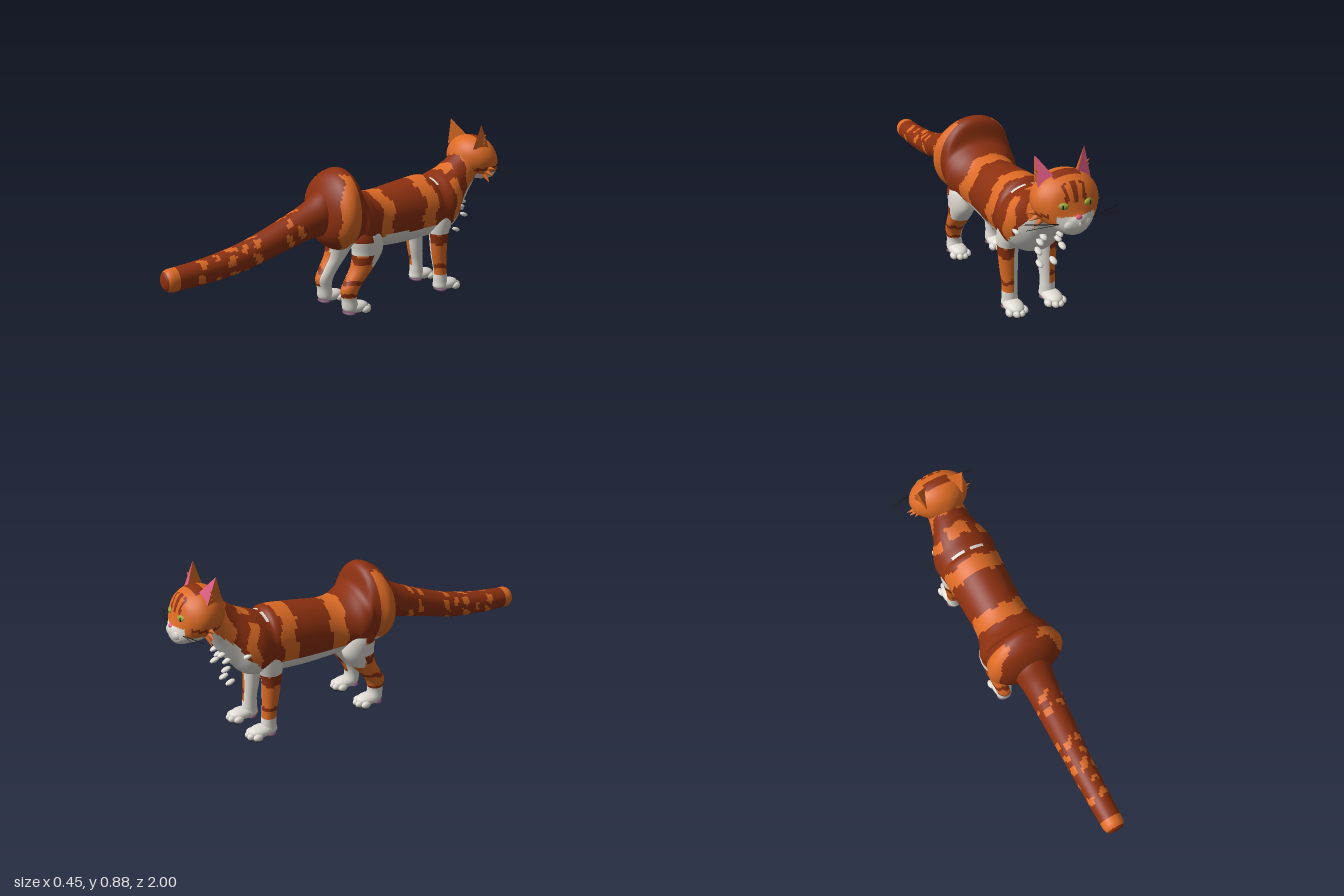
import * as THREE from 'three';

const mat = (name, color, side = THREE.FrontSide) => {
  const m = new THREE.MeshStandardMaterial({ color, side });
  m.name = name;
  return m;
};

export function createModel() {
  const cat = new THREE.Group();
  cat.name = 'cat';
  const orange = mat('orange fur', 0xdc6a24), brown = mat('dark stripe fur', 0x8c300f);
  const white = mat('white fur', 0xe0dcd4), pink = mat('pink skin', 0xdc5a80);
  const purple = mat('paw pad', 0x76506a), green = mat('eye green', 0x9aa632);
  const black = mat('black', 0x1c1816);
  const FUR = [orange, brown, white];
  const O = 0, B = 1, W = 2;

  const add = (name, geo, material, parent = cat) => {
    const m = new THREE.Mesh(geo, material);
    m.name = name;
    parent.add(m);
    return m;
  };

  // Smooth loft through elliptical stations [cx, cy, cz, a, b]; every face takes a fur colour by rule
  function loft(name, stations, axis, steps, sides, colourAt, parent = cat) {
    const c1 = new THREE.CatmullRomCurve3(stations.map(s => new THREE.Vector3(s[0], s[1], s[2])), false, 'catmullrom', 0.5);
    const c2 = new THREE.CatmullRomCurve3(stations.map(s => new THREE.Vector3(s[3], s[4], 0)), false, 'catmullrom', 0.5);
    const pos = [], buckets = [[], [], []];
    for (let i = 0; i <= steps; i++) {
      const c = c1.getPoint(i / steps), r = c2.getPoint(i / steps);
      for (let j = 0; j < sides; j++) {
        const t = j / sides * Math.PI * 2;
        const u = Math.cos(t) * Math.max(r.x, 0.001), v = Math.sin(t) * Math.max(r.y, 0.001);
        if (axis === 'z') pos.push(c.x + u, c.y + v, c.z);
        else pos.push(c.x + u, c.y, c.z + v);
      }
    }
    for (let i = 0; i < steps; i++) for (let j = 0; j < sides; j++) {
      const k = (j + 1) % sides;
      const a = i * sides + j, b = i * sides + k, c = b + sides, d = a + sides;
      const mid = n => (pos[a * 3 + n] + pos[c * 3 + n]) / 2;
      buckets[colourAt(mid(0), mid(1), mid(2))].push(a, b, c, a, c, d);
    }
    const g = new THREE.BufferGeometry();
    g.setAttribute('position', new THREE.Float32BufferAttribute(pos, 3));
    g.setIndex(buckets.flat());
    let start = 0;
    buckets.forEach((q, n) => { if (q.length) g.addGroup(start, q.length, n); start += q.length; });
    g.computeVertexNormals();
    return add(name, g, FUR, parent);
  }
  // Body profile rows [z, top, bottom, halfWidth] to stations
  const profile = rows => rows.map(([z, t, b, w]) => [0, (t + b) / 2, z, w, (t - b) / 2]);
  const inside = (v, ranges) => ranges.some(([a, b]) => v > a && v < b);
  const ball = (name, m, p, r, parent = cat, seg = 14) => {
    const s = add(name, new THREE.SphereGeometry(1, seg, Math.max(8, seg - 4)), m, parent);
    s.position.set(...p);
    s.scale.set(...r);
    return s;
  };

  // Torso with neck and raised rump
  loft('body', profile([
    [-0.86, 0.73, 0.59, 0.05], [-0.82, 0.755, 0.545, 0.09], [-0.77, 0.735, 0.465, 0.098], [-0.71, 0.69, 0.38, 0.115],
    [-0.66, 0.655, 0.325, 0.145], [-0.6, 0.63, 0.305, 0.165], [-0.545, 0.61, 0.3, 0.158], [-0.5, 0.628, 0.298, 0.155],
    [-0.35, 0.612, 0.29, 0.146], [-0.2, 0.592, 0.295, 0.142], [-0.12, 0.597, 0.305, 0.16], [-0.07, 0.612, 0.315, 0.185],
    [-0.035, 0.64, 0.32, 0.188], [-0.01, 0.715, 0.32, 0.18], [0.025, 0.736, 0.32, 0.19], [0.065, 0.725, 0.325, 0.203],
    [0.105, 0.695, 0.345, 0.185], [0.14, 0.635, 0.385, 0.13], [0.16, 0.56, 0.43, 0.05], [0.163, 0.5, 0.495, 0.002],
  ]), 'z', 170, 64, (x, y, z) => {
    const wob = 0.012 * Math.sin(y * 40) + 0.006 * Math.sin(x * 70);
    if (z < -0.62 && y < 0.43 + (-0.65 - z) * 1.07 + wob) return W;
    if (z < 0.05 && y < 0.375 + wob) return W;
    if (y > 0.58 && z > -0.553 && z < -0.538 && Math.abs(x) > 0.02 && Math.abs(x) < 0.09) return W;
    if (z > 0.02) return y > 0.715 || Math.hypot(x / 0.165, (y - 0.53) / 0.205) < 1 + wob * 3 ? B : O;
    const s = z + wob;
    if (inside(s, [[-0.225, -0.145], [-0.5, -0.42], [-0.9, -0.735]])) return O;
    if (inside(s, [[-0.67, -0.62]]) && (Math.abs(x) > 0.1 || Math.abs(x) < 0.06)) return O;
    return B;
  });

  // Tail
  loft('tail', [
    [0, 0.53, 0.06, 0.1, 0.13], [0, 0.515, 0.15, 0.094, 0.11], [0, 0.485, 0.24, 0.082, 0.088], [0, 0.42, 0.44, 0.072, 0.073],
    [0, 0.375, 0.6, 0.065, 0.067], [0, 0.348, 0.78, 0.06, 0.06], [0, 0.338, 0.92, 0.056, 0.056],
    [0, 0.336, 0.97, 0.053, 0.053], [0, 0.336, 0.993, 0.035, 0.035], [0, 0.336, 1, 0.001, 0.001],
  ], 'z', 120, 40, (x, y, z) => {
    if (z > 0.93) return z > 0.985 ? B : O;
    const a = Math.atan2(x, y - (0.56 - 0.28 * z));
    const s = z + 0.012 * Math.sin(a * 3);
    if (inside(s, [[0.335, 0.365], [0.51, 0.545], [0.635, 0.68], [0.8, 0.835]]) && Math.sin(a * 5 + z * 30) > -0.5) return O;
    return inside(s, [[0.27, 0.3], [0.58, 0.61], [0.73, 0.75]]) && Math.sin(a * 3 + z * 9) > 0.3 ? O : B;
  });

  // Head with pale muzzle
  loft('head', profile([
    [-1, 0.625, 0.6, 0.006], [-0.993, 0.642, 0.58, 0.035], [-0.98, 0.66, 0.56, 0.06], [-0.968, 0.695, 0.553, 0.08],
    [-0.955, 0.735, 0.55, 0.1], [-0.935, 0.768, 0.552, 0.122], [-0.9, 0.79, 0.556, 0.146], [-0.86, 0.802, 0.565, 0.153],
    [-0.81, 0.798, 0.58, 0.138], [-0.765, 0.77, 0.61, 0.095], [-0.738, 0.72, 0.65, 0.035], [-0.734, 0.69, 0.68, 0.002],
  ]), 'z', 90, 56, (x, y, z) => {
    const ax = Math.abs(x);
    if (y < 0.607 || (z < -0.95 && y < 0.648 && ax < 0.09)) return W;
    if (y > 0.75 && z < -0.835 && z > -0.885 && ax < 0.065) return B;
    if (y > 0.7 && z < -0.92 && inside(ax, [[0, 0.012], [0.035, 0.05]])) return B;
    return z > -0.94 && ax > 0.1 && inside(y + 0.1 * z, [[0.545, 0.56]]) ? B : O;
  });
  ball('nose', pink, [0, 0.641, -0.984], [0.018, 0.012, 0.014]);
  ball('chin', white, [0, 0.572, -0.955], [0.045, 0.022, 0.03]);

  for (const s of [1, -1]) {
    const side = new THREE.Group();
    side.name = s > 0 ? 'leftSide' : 'rightSide';
    cat.add(side);

    // Ear: pink front face, orange back
    const ear = new THREE.BufferGeometry();
    const tip = [0.12, 0.877, -0.81], inn = [0.052, 0.785, -0.872], out = [0.128, 0.735, -0.868], back = [0.1, 0.745, -0.775];
    const faces = [[tip, inn, out], [tip, out, back], [tip, back, inn]];
    ear.setAttribute('position', new THREE.Float32BufferAttribute(
      faces.flatMap(f => (s > 0 ? [f[0], f[2], f[1]] : f).flatMap(p => [p[0] * s, p[1], p[2]])), 3));
    // Corner order must face outwards on each side
    const p = ear.attributes.position, v = i => new THREE.Vector3().fromBufferAttribute(p, i);
    const core = new THREE.Vector3(0.1 * s, 0.785, -0.831);
    for (let i = 0; i < 9; i += 3) {
      const a = v(i), b = v(i + 1), c = v(i + 2);
      if (b.clone().sub(a).cross(c.clone().sub(a)).dot(a.clone().sub(core)) < 0) {
        p.setXYZ(i + 1, c.x, c.y, c.z);
        p.setXYZ(i + 2, b.x, b.y, b.z);
      }
    }
    ear.addGroup(0, 3, 0);
    ear.addGroup(3, 6, 1);
    ear.computeVertexNormals();
    add('ear', ear, [pink, orange], side);

    // Small fur tufts on ear edge and cheek
    const tuft = (name, q, len, r, tilt) => {
      const t = add(name, new THREE.ConeGeometry(r, len, 6), orange, side);
      t.position.set(q[0] * s, q[1], q[2]);
      t.rotation.z = -s * tilt;
    };
    [0.775, 0.795, 0.815].forEach(y => tuft('earTuft', [0.124, y, -0.835], 0.03, 0.008, 0.8));
    [[0.155, 0.64, 1.5], [0.145, 0.61, 1.9], [0.125, 0.58, 2.3]].forEach(([x, y, t]) => tuft('cheekTuft', [x, y, -0.86], 0.055, 0.016, t));

    // Eye with dark pupil
    const eye = new THREE.Group();
    eye.name = 'eye';
    eye.position.set(0.06 * s, 0.69, -0.956);
    eye.rotation.y = -s * 0.45;
    side.add(eye);
    ball('iris', green, [0, 0, 0], [0.026, 0.017, 0.014], eye);
    ball('pupil', black, [0, 0, -0.012], [0.004, 0.011, 0.004], eye, 8);

    ball('muzzleCheek', white, [0.03 * s, 0.608, -0.97], [0.036, 0.03, 0.026], side);

    // Whiskers
    [[0.632, -0.935], [0.622, -0.925], [0.607, -0.945]].forEach(([y, z]) => {
      const path = new THREE.LineCurve3(new THREE.Vector3(0.07 * s, 0.615, -0.968), new THREE.Vector3(0.225 * s, y, z));
      add('whisker', new THREE.TubeGeometry(path, 1, 0.0013, 4), black, side);
    });

    // Chest tufts
    [[0.04, 0.455, -0.765], [0.06, 0.385, -0.76], [0.035, 0.3, -0.73], [0.045, 0.42, -0.745], [0.128, 0.46, -0.675]].forEach(q => {
      const t = ball('chestTuft', white, [q[0] * s, q[1], q[2]], [0.016, 0.011, 0.026], side, 10);
      t.rotation.x = -0.35;
    });

    // Legs: white inside and sock, striped outside
    const legColour = (bands, hip) => (x, y, z) => {
      if (y < 0.1 || Math.abs(x) < 0.092 || hip(y, z)) return W;
      return inside(y + 0.008 * Math.sin(x * 90 + z * 60), bands) ? B : O;
    };
    loft('hindLeg', [
      [0.11 * s, 0.45, -0.05, 0.05, 0.06], [0.113 * s, 0.39, -0.06, 0.066, 0.085], [0.115 * s, 0.32, -0.068, 0.063, 0.085],
      [0.116 * s, 0.25, -0.04, 0.054, 0.066], [0.115 * s, 0.19, 0.002, 0.048, 0.055], [0.112 * s, 0.135, 0.036, 0.042, 0.05],
      [0.11 * s, 0.085, 0.038, 0.038, 0.039], [0.11 * s, 0.03, 0.03, 0.04, 0.04], [0.11 * s, 0.022, 0.03, 0.001, 0.001],
    ], 'y', 60, 36, legColour([[0.1, 0.118], [0.165, 0.19], [0.27, 0.31], [0.38, 0.5]],
      (y, z) => (y > 0.315 && y < 0.38) || (z < -0.06 && y > 0.245)), side);
    loft('frontLeg', [
      [0.1 * s, 0.47, -0.57, 0.05, 0.06], [0.102 * s, 0.38, -0.555, 0.055, 0.062], [0.102 * s, 0.3, -0.548, 0.049, 0.049],
      [0.1 * s, 0.2, -0.555, 0.043, 0.041], [0.1 * s, 0.12, -0.566, 0.037, 0.035],
      [0.1 * s, 0.06, -0.57, 0.038, 0.038], [0.1 * s, 0.025, -0.57, 0.038, 0.038], [0.1 * s, 0.02, -0.57, 0.001, 0.001],
    ], 'y', 60, 36, legColour([[0.135, 0.155], [0.27, 0.33]], y => y > 0.33), side);

    // Paws with four toes, heel pad and toe pads
    [['hindPaw', 0.11, 0.0], ['frontPaw', 0.102, -0.608]].forEach(([name, px, pz]) => {
      const paw = new THREE.Group();
      paw.name = name;
      paw.position.set(px * s, 0, pz);
      side.add(paw);
      ball('foot', white, [0, 0.036, -0.005], [0.046, 0.03, 0.068], paw, 18);
      ball('heelPad', purple, [0, 0.013, 0.04], [0.042, 0.011, 0.03], paw);
      [-1.5, -0.5, 0.5, 1.5].forEach(k => {
        const z = -0.06 + (Math.abs(k) > 1 ? 0.02 : 0);
        ball('toe', white, [k * 0.026, 0.024, z], [0.017, 0.018, 0.026], paw);
        ball('toePad', black, [k * 0.026, 0.009, z - 0.006], [0.009, 0.007, 0.012], paw, 8);
      });
    });
  }
  return cat;
}
